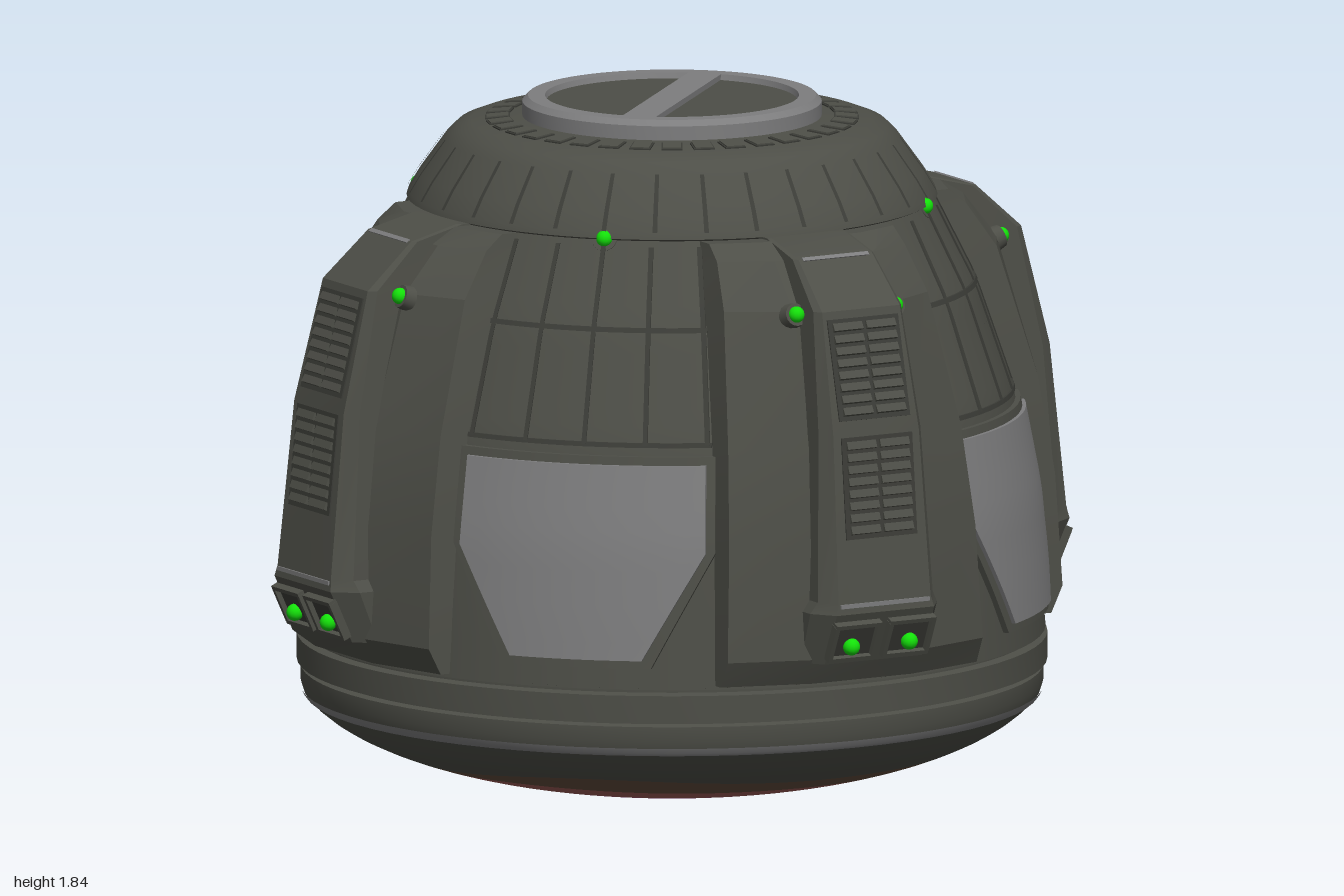
import * as THREE from 'three';
import { toCreasedNormals } from 'three/addons/utils/BufferGeometryUtils.js';

const paint = (name, color) => Object.assign(new THREE.MeshStandardMaterial({ color }), { name });
const M = {
  hull: paint('dark olive hull', 0x4d4e47),
  seam: paint('seam shade', 0x3b3c37),
  grey: paint('plain grey', 0x7d7d7e),
  red: paint('hatch red', 0xf80807),
  green: paint('lamp green', 0x14e00a),
  scorch: [
    paint('scorched brown', 0x624c3d), paint('scorched rust', 0x9c5a55), paint('scorched plum', 0xae5088),
    paint('scorched violet', 0xa274b4), paint('scorched blue', 0x869fbc),
  ],
};

function add(parent, name, geo, mat, pos = [0, 0, 0], rot = [0, 0, 0]) {
  const m = new THREE.Mesh(geo, mat);
  m.name = name;
  m.position.set(...pos);
  m.rotation.set(...rot);
  parent.add(m);
  return m;
}
function group(parent, name, turn = 0) {
  const g = new THREE.Group();
  g.name = name;
  g.rotation.y = turn;
  parent.add(g);
  return g;
}
const box = (w, h, d) => new THREE.BoxGeometry(w, h, d);
const lathe = (pts, seg = 72, start = 0, len = Math.PI * 2) =>
  new THREE.LatheGeometry(pts.map(p => new THREE.Vector2(...p)), seg, start, len);

// Surface from a grid of points; rows go up, columns go to the right
function grid(rows, cols, fn, caps = false, crease = 0.5) {
  const pos = [], idx = [];
  for (let i = 0; i <= rows; i++) for (let j = 0; j <= cols; j++) pos.push(...fn(i, j));
  const at = (i, j) => i * (cols + 1) + j;
  for (let i = 0; i < rows; i++) for (let j = 0; j < cols; j++)
    idx.push(at(i, j), at(i, j + 1), at(i + 1, j + 1), at(i, j), at(i + 1, j + 1), at(i + 1, j));
  if (caps) for (let j = 1; j < cols - 1; j++)
    idx.push(at(rows, 0), at(rows, j), at(rows, j + 1), at(0, 0), at(0, j + 1), at(0, j));
  const g = new THREE.BufferGeometry();
  g.setAttribute('position', new THREE.Float32BufferAttribute(pos, 3));
  g.setIndex(idx);
  return toCreasedNormals(g, crease);
}
// Closed solid through stacked outlines of [x, z] at heights y
const loft = sections => grid(sections.length - 1, sections[0].outline.length, (i, j) => {
  const s = sections[i], p = s.outline[j % s.outline.length];
  return [p[0], s.y, p[1]];
}, true, 0.3);

// Hull radius by height
const PROFILE = [[0.985, 0.42], [0.97, 0.6], [0.95, 0.8], [0.9, 1.06], [0.8, 1.35], [0.69, 1.57]];
function lerpAt(table, y) {
  let k = 1;
  while (k < table.length - 1 && y > table[k][1]) k++;
  const [a, b] = [table[k - 1], table[k]];
  return a[0] + (b[0] - a[0]) * (y - a[1]) / (b[1] - a[1]);
}
const R = y => lerpAt(PROFILE, y);
const range = (a, b, n) => Array.from({ length: n + 1 }, (_, i) => a + (b - a) * i / n);

// Plate curved onto the hull, between x = left(y) and x = right(y)
function plate(ys, left, right, off, cols = 12) {
  const n = ys.length - 1, clamp = THREE.MathUtils.clamp;
  return grid(n + 2, cols + 2, (i, j) => {
    const ci = clamp(i - 1, 0, n), cj = clamp(j - 1, 0, cols), y = ys[ci];
    const edge = ci !== i - 1 || cj !== j - 1;
    const x = left(y) + (right(y) - left(y)) * cj / cols, r = R(y) + (edge ? -0.015 : off);
    return [x, y, Math.sqrt(r * r - x * x)];
  });
}

function lamp(parent, pos, tilt, size = 0.034) {
  const g = group(parent, 'lamp');
  g.position.set(...pos);
  g.rotation.x = -tilt;
  add(g, 'lampHousing', new THREE.CylinderGeometry(size * 0.85, size, 0.03, 16), M.hull, [0, 0, 0], [Math.PI / 2, 0, 0]);
  add(g, 'lampBulb', new THREE.SphereGeometry(0.022, 14, 10), M.green, [0, 0, 0.016]);
}

// Heat shield with wavy scorch rings
function heatShield(root) {
  const g = group(root, 'heatShield');
  const limits = [0.97, 0.8, 0.69, 0.54, 0.375, 0.245, 0];
  const edge = (k, a) => limits[k] * (k === 0 ? 1 : 1 + 0.04 * Math.sin(3 * a + k) + 0.02 * Math.sin(5 * a + 2 * k));
  [M.hull, ...M.scorch].forEach((mat, k) => add(g, 'shieldRing', grid(6, 72, (i, j) => {
    const a = j / 72 * Math.PI * 2, r = THREE.MathUtils.lerp(edge(k + 1, a), edge(k, a), i / 6);
    return [r * Math.sin(a), 0.33 * (1 - Math.sqrt(1 - r * r)), r * Math.cos(a)];
  }), mat));
  add(g, 'wornRim', lathe([[0.966, 0.24], [0.973, 0.248], [0.98, 0.262]]), M.grey);
}

function hull(root) {
  const gap = 0.155;
  add(root, 'lowerBands', toCreasedNormals(lathe([[0.97, 0.25], [0.98, 0.28], [0.98, 0.32], [0.96, 0.325], [0.96, 0.33],
    [0.99, 0.335], [0.99, 0.405], [0.965, 0.41], [0.965, 0.42], [0.985, 0.425]]), 0.5), M.hull);
  const part = (a, b, cut) => add(root, 'hullShell', lathe(range(a, b, 8).map(y => [R(y), y]), 72,
    Math.PI + cut, Math.PI * 2 - 2 * cut), M.hull);
  part(0.42, 0.86, 0);
  part(0.86, 1.25, gap);
  part(1.25, 1.57, 0);
  // Shoulder, neck and top cap
  const shoulder = [[0.695, 1.59], [0.665, 1.64], [0.6, 1.73]];
  add(root, 'shoulder', toCreasedNormals(lathe([[0.68, 1.565], [0.7, 1.575], ...shoulder,
    [0.57, 1.76], [0.53, 1.775], [0.39, 1.788]]), 0.45), M.hull);
  add(root, 'topRim', toCreasedNormals(lathe([[0.395, 1.78], [0.395, 1.825], [0.38, 1.84], [0.335, 1.84], [0.33, 1.822]]), 0.4), M.grey);
  add(root, 'topDisc', new THREE.CylinderGeometry(0.335, 0.335, 0.02, 48), M.hull, [0, 1.815, 0]);
  add(root, 'topBar', box(0.09, 0.02, 0.67), M.grey, [0, 1.83, 0]);
  const raised = shoulder.map(([r, y]) => [r + 0.003, y + 0.003]);
  for (let i = 0; i < 32; i++)
    add(root, 'shoulderSeam', lathe(raised, 1, i / 32 * Math.PI * 2 - 0.009, 0.018), M.seam);
  for (let i = 0; i < 36; i++) {
    const t = group(root, 'neckSlot', (i + 0.5) / 36 * Math.PI * 2);
    add(t, 'slotShadow', box(0.056, 0.006, 0.066), M.seam, [0, 1.782, 0.46], [0.094, 0, 0]);
    add(t, 'slotCover', box(0.048, 0.008, 0.058), M.hull, [0, 1.784, 0.46], [0.094, 0, 0]);
  }
}

// Panel seams on each of the four open sides
function sidePanels(side, base) {
  const ang = 0.183;
  for (let k = -2; k <= 2; k++) {
    const mid = y => R(y) * Math.sin(k * ang);
    add(side, 'panelSeam', plate(range(base, 1.555, 8), y => mid(y) - 0.006, y => mid(y) + 0.006, 0.004, 1), M.seam);
  }
  for (const y of [base, 1.35])
    add(side, 'panelSeam', plate([y - 0.006, y + 0.006], () => -R(y) * 0.37, () => R(y) * 0.37, 0.004), M.seam);
  lamp(side, [0, 1.567, 0.676], 0.45, 0.04);
}

function sideWindow(side) {
  const outline = [[0.18, 0.5], [0.335, 0.78], [0.325, 1.01]];
  const make = (name, grow, off, mat) => {
    const t = outline.map(([w, y], i) => [w + grow, y + grow * [-1, 0, 1][i]]);
    const w = y => lerpAt(t, y);
    const ys = [...range(t[0][1], 0.78, 6), ...range(0.78, t[2][1], 4).slice(1)];
    add(side, name, plate(ys, y => -w(y), w, off), mat);
  };
  make('windowFrame', 0.022, 0.014, M.hull);
  make('windowPane', 0, 0.024, M.grey);
}

// Red hatch with a deep opening
function hatch(side) {
  const inner = y => R(y) * Math.sin(0.155), outer = () => 0.37;
  const strip = (name, a, b, l, r, off) => add(side, name, plate(range(a, b, 6), l, r, off), M.red);
  strip('hatchPanel', 0.43, 0.86, y => -outer(y), outer, 0.006);
  strip('hatchPanel', 1.25, 1.32, y => -outer(y), outer, 0.006);
  strip('hatchFrame', 0.795, 0.86, () => -0.195, () => 0.195, 0.016);
  strip('hatchFrame', 1.25, 1.31, () => -0.185, () => 0.185, 0.016);
  for (const s of [-1, 1]) {
    const pick = (a, b) => s > 0 ? [a, b] : [y => -b(y), y => -a(y)];
    strip('hatchPanel', 0.86, 1.25, ...pick(inner, outer), 0.006);
    strip('hatchFrame', 0.86, 1.25, ...pick(inner, () => 0.19), 0.016);
    add(side, 'openingWall', box(0.012, 0.42, 0.16), s > 0 ? M.grey : M.hull, [s * 0.143, 1.055, 0.79], [-0.25, 0, 0]);
    for (const [bx, y] of [[0.285, 0.585], [0.265, 1.19]]) {
      const x = s * bx, r = R(y) + 0.008;
      add(side, 'hatchBolt', new THREE.CylinderGeometry(0.034, 0.041, 0.032, 16), M.grey,
        [x, y, Math.sqrt(r * r - x * x)], [Math.PI / 2 - 0.2, 0, -s * 0.3]);
    }
    for (const x of [0.235, 0.305]) {
      const z = Math.sqrt(R(0.895) ** 2 - x * x);
      add(side, 'clampBed', box(0.064, 0.285, 0.03), M.hull, [s * x, 0.895, z], [-0.19, s * 0.28, 0]);
      add(side, 'clampBar', box(0.046, 0.26, 0.045), M.grey, [s * x, 0.895, z + 0.003], [-0.19, s * 0.28, 0]);
    }
  }
  add(side, 'openingFloor', box(0.29, 0.43, 0.01), M.hull, [0, 1.055, 0.715], [-0.25, 0, 0]);
  add(side, 'openingSill', box(0.29, 0.012, 0.18), M.hull, [0, 0.86, 0.845]);
  add(side, 'openingHead', box(0.29, 0.012, 0.17), M.hull, [0, 1.25, 0.745]);
  add(side, 'openingBrace', box(0.07, 0.36, 0.02), M.grey, [0, 1.05, 0.735], [-0.25, 0, -0.45]);
}

// Diagonal buttress: broad wing, raised spine, louvres and lamps
function buttress(b) {
  const wing = [[0.43, 0.39, 0.93, 1.0], [0.5, 0.388, 0.965, 1.04], [0.8, 0.375, 0.95, 1.03], [1.06, 0.355, 0.91, 0.995],
    [1.41, 0.31, 0.81, 0.9], [1.53, 0.285, 0.73, 0.8], [1.57, 0.28, 0.68, 0.73]];
  add(b, 'buttressWing', loft(wing.map(([y, t, e, c]) =>
    ({ y, outline: [[-t, 0.55], [-t, e], [-0.15, c], [0.15, c], [t, e], [t, 0.55]] }))), M.hull);
  const spine = [[0.49, 0.148, 1.06, 0.04], [0.63, 0.148, 1.125, 0.045], [0.66, 0.14, 1.12, 0.035], [1.1, 0.13, 1.075, 0.025],
    [1.42, 0.118, 0.995, 0.015], [1.54, 0.112, 0.86, 0.01], [1.575, 0.11, 0.72, 0.01]];
  add(b, 'buttressSpine', loft(spine.map(([y, t, r, c]) =>
    ({ y, outline: [[-t - c, 0.6], [-t - c, r - 1.4 * c], [-t, r], [t, r], [t + c, r - 1.4 * c], [t + c, 0.6]] }))), M.hull);
  // Bare metal showing on the spine's edges
  add(b, 'wornLedge', box(0.27, 0.011, 0.008), M.grey, [0, 0.652, 1.121]);
  add(b, 'wornBrow', box(0.2, 0.012, 0.008), M.grey, [0, 1.538, 0.86], [-0.9, 0, 0]);
  for (const [y, r, tilt] of [[0.96, 1.089, 0.102], [1.268, 1.033, 0.245]]) {
    const v = group(b, 'louvre');
    v.position.set(0, y, r);
    v.rotation.x = -tilt;
    add(v, 'louvreBed', box(0.215, 0.27, 0.008), M.seam);
    for (let i = 0; i < 8; i++) for (const s of [-1, 1])
      add(v, 'louvreSlat', box(0.088, 0.021, 0.016), M.hull, [s * 0.05, (i - 3.5) * 0.032, 0.003], [-0.3, 0, 0]);
  }
  for (const s of [-1, 1]) {
    lamp(b, [s * 0.15, 1.4, 0.9], 0.35, 0.036);
    const cell = group(b, 'footCell');
    cell.position.set(s * 0.082, 0.557, 1.093);
    cell.rotation.x = 0.435;
    add(cell, 'cellBed', box(0.13, 0.1, 0.008), M.seam);
    for (const e of [-1, 1]) {
      add(cell, 'cellRim', box(0.138, 0.012, 0.024), M.hull, [0, e * 0.052, 0.006]);
      add(cell, 'cellRim', box(0.012, 0.1, 0.024), M.hull, [e * 0.064, 0, 0.006]);
    }
    add(cell, 'cellLamp', new THREE.SphereGeometry(0.023, 14, 10), M.green, [s * 0.006, -0.015, 0.012]);
  }
}

export function createModel() {
  const root = new THREE.Group();
  root.name = 'capsule';
  heatShield(root);
  hull(root);
  for (let i = 0; i < 4; i++) {
    const side = group(root, i === 2 ? 'hatchSide' : 'windowSide', i * Math.PI / 2);
    sidePanels(side, i === 2 ? 1.335 : 1.06);
    if (i === 2) hatch(side); else sideWindow(side);
    buttress(group(root, 'buttress', (i + 0.5) * Math.PI / 2));
  }
  return root;
}
